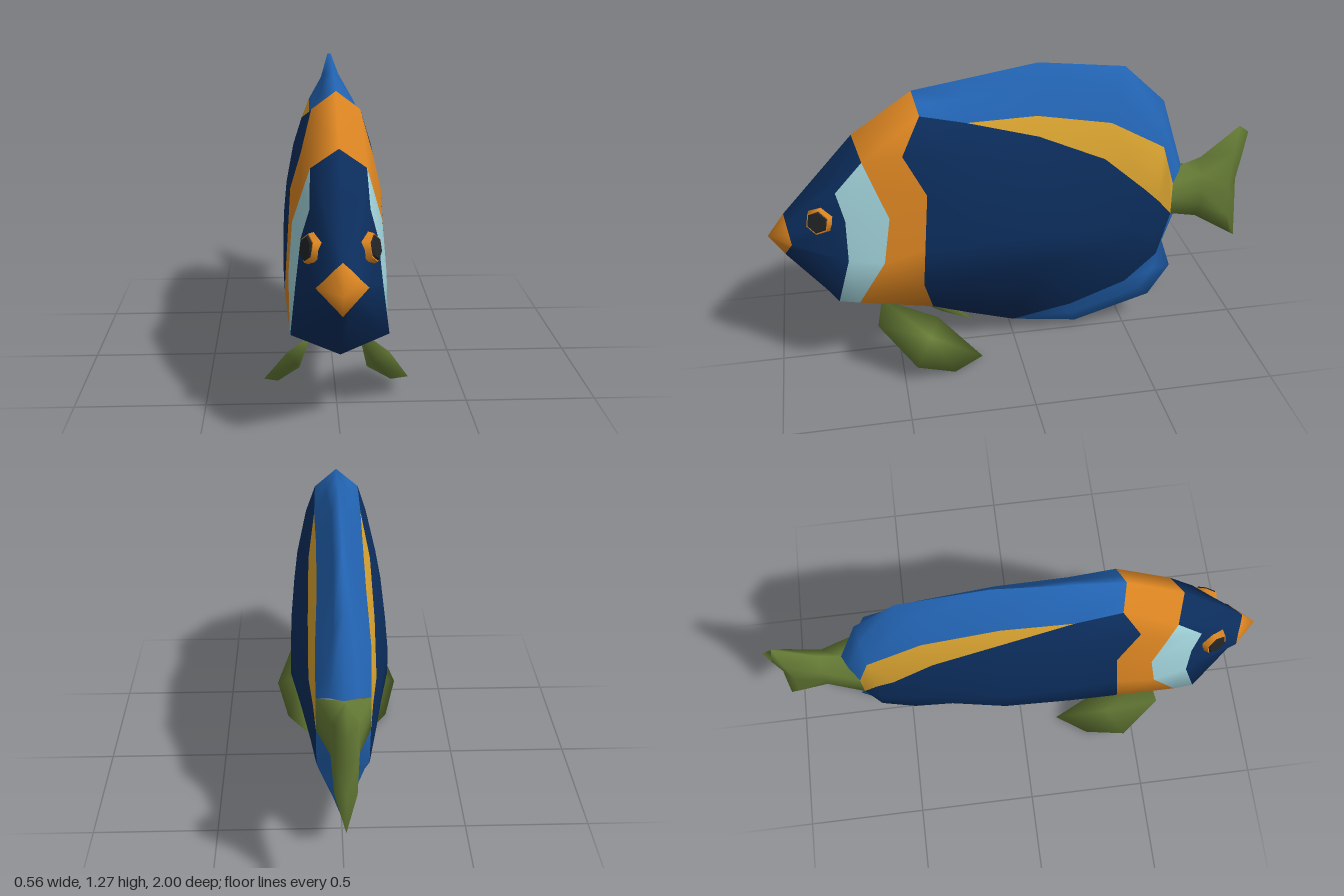
import * as THREE from 'three';
import { mergeVertices } from 'three/addons/utils/BufferGeometryUtils.js';

const paint = (name, color) => {
  const m = new THREE.MeshStandardMaterial({ color });
  m.name = name;
  return m;
};

// Triangles from a list of corner points, welded so they shade smoothly
function smoothMesh(name, corners, material) {
  let geo = new THREE.BufferGeometry();
  geo.setAttribute('position', new THREE.Float32BufferAttribute(corners.flat(), 3));
  geo = mergeVertices(geo, 1e-4);
  geo.computeVertexNormals();
  const mesh = new THREE.Mesh(geo, material);
  mesh.name = name;
  return mesh;
}

const flip = ([x, y, z]) => [-x, y, z];

// Skin between half rings (front to back, each listed top to bottom), mirrored in x
function loft(name, rings, material) {
  const out = [];
  for (let r = 0; r + 1 < rings.length; r++) {
    const a = rings[r], b = rings[r + 1];
    for (let i = 0; i + 1 < a.length; i++) {
      for (const tri of [[a[i], a[i + 1], b[i + 1]], [a[i], b[i + 1], b[i]]]) {
        out.push(...tri, ...tri.map(flip).reverse());
      }
    }
  }
  return smoothMesh(name, out, material);
}

// Makes normals agree where neighbouring skin parts meet
function blendNormals(meshes) {
  const sums = new Map();
  const visit = (fn) => meshes.forEach(({ geometry: { attributes: { position: p, normal: n } } }) => {
    for (let i = 0; i < p.count; i++) {
      const key = [p.getX(i), p.getY(i), p.getZ(i)].map((v) => Math.round(v * 1000)).join();
      fn(key, n, i);
    }
  });
  visit((key, n, i) => {
    if (!sums.has(key)) sums.set(key, new THREE.Vector3());
    sums.get(key).add(new THREE.Vector3().fromBufferAttribute(n, i));
  });
  visit((key, n, i) => {
    const v = sums.get(key).clone().normalize();
    n.setXYZ(i, v.x, v.y, v.z);
  });
}

export function createModel() {
  const fish = new THREE.Group();
  fish.name = 'fish';
  const navy = paint('navy', 0x0c2e5e), orange = paint('orange', 0xdd8622);
  const pale = paint('paleBlue', 0xa2d4dc), blue = paint('blue', 0x2365b5);
  const yellow = paint('yellow', 0xd9a330), green = paint('green', 0x667c36);
  const black = paint('black', 0x222426);

  // Head seams, from the snout backwards
  const tip = Array(7).fill([0, 0.61, 1]);
  const beakSeam = [[0, 0.705, 0.93], [0.03, 0.675, 0.922], [0.06, 0.64, 0.913], [0.09, 0.61, 0.905],
    [0.06, 0.58, 0.917], [0.03, 0.55, 0.928], [0, 0.52, 0.94]];
  const faceSeam = [[0, 1.025, 0.64], [0.1, 0.95, 0.61], [0.105, 0.83, 0.72], [0.135, 0.72, 0.69],
    [0.155, 0.55, 0.69], [0.175, 0.38, 0.74], [0, 0.32, 0.78]];
  const cheekSeam = [[0, 1.025, 0.64], [0.1, 0.95, 0.61], [0.127, 0.86, 0.574], [0.165, 0.73, 0.52],
    [0.18, 0.54, 0.55], [0.177, 0.365, 0.66], [0, 0.285, 0.68]];
  const collarSeam = [[0, 1.19, 0.4], [0.09, 1.12, 0.38], [0.13, 0.975, 0.455], [0.17, 0.82, 0.37],
    [0.185, 0.586, 0.388], [0.195, 0.43, 0.4], [0, 0.19, 0.35]];

  // Flank rings: dorsal base, yellow edge, four flank levels, belly edge
  const flank = [
    [collarSeam[1], ...collarSeam.slice(1)],
    [[0.095, 1.08, 0.2], [0.095, 1.08, 0.2], [0.145, 0.95, 0.2], [0.182, 0.78, 0.2],
      [0.198, 0.6, 0.2], [0.2, 0.45, 0.2], [0, 0.14, 0.2]],
    [[0.09, 1.085, -0.08], [0.12, 1.01, -0.08], [0.155, 0.9, -0.08], [0.185, 0.74, -0.08],
      [0.198, 0.6, -0.08], [0.2, 0.48, -0.08], [0, 0.08, 0]],
    [[0.09, 1.03, -0.38], [0.125, 0.89, -0.35], [0.145, 0.8, -0.33], [0.155, 0.68, -0.32],
      [0.16, 0.58, -0.31], [0.16, 0.48, -0.3], [0.06, 0.17, -0.24]],
    [[0.1, 0.91, -0.6], [0.125, 0.74, -0.52], [0.13, 0.69, -0.51], [0.13, 0.62, -0.5],
      [0.13, 0.56, -0.5], [0.13, 0.5, -0.5], [0.09, 0.28, -0.47]],
    [[0.1, 0.825, -0.625], [0.11, 0.67, -0.59], [0.11, 0.63, -0.59], [0.11, 0.58, -0.59],
      [0.11, 0.54, -0.59], [0.11, 0.5, -0.59], [0.1, 0.41, -0.6]],
    [[0.1, 0.74, -0.65], ...Array(6).fill([0.1, 0.6, -0.65])],
  ];
  const top = (r) => flank[r][0], belly = (r) => flank[r][6];

  // Fins grow out of the flank edges to a sharp ridge
  const dorsal = [
    [collarSeam[0], [0.045, 1.155, 0.39], top(0)],
    [[0, 1.222, 0.2], [0.045, 1.16, 0.2], top(1)],
    [[0, 1.27, -0.1], [0.03, 1.19, -0.08], top(2)],
    [[0, 1.23, -0.45], [0.03, 1.13, -0.42], top(3)],
    [[0, 1.07, -0.62], [0.035, 0.99, -0.61], top(4)],
    [[0, 0.77, -0.715], [0.05, 0.765, -0.69], top(6)],
  ];
  const anal = [
    [belly(2), belly(2), belly(2)],
    [belly(3), [0.025, 0.1, -0.26], [0, 0.04, -0.28]],
    [belly(4), [0.035, 0.2, -0.55], [0, 0.14, -0.61]],
    [belly(4), [0.035, 0.29, -0.61], [0, 0.28, -0.7]],
    [belly(5), [0.05, 0.42, -0.63], [0, 0.43, -0.65]],
    [belly(6), [0.05, 0.57, -0.68], [0, 0.55, -0.7]],
  ];
  const tail = [
    [[0, 0.77, -0.715], [0.1, 0.74, -0.65], [0.1, 0.67, -0.65], [0.1, 0.6, -0.65], [0, 0.55, -0.7]],
    [[0, 0.8, -0.8], [0.05, 0.74, -0.8], [0.055, 0.67, -0.8], [0.05, 0.6, -0.8], [0, 0.52, -0.8]],
    [[0, 0.93, -0.96], [0.04, 0.82, -0.93], [0.04, 0.67, -0.92], [0.04, 0.53, -0.93], [0, 0.42, -0.96]],
    [[0, 0.9, -1], [0, 0.8, -0.985], [0, 0.68, -0.965], [0, 0.55, -0.975], [0, 0.405, -0.985]],
  ];

  const skin = [
    loft('beak', [tip, beakSeam], orange),
    loft('face', [beakSeam, faceSeam], navy),
    loft('cheekBand', [faceSeam, cheekSeam], pale),
    loft('collar', [cheekSeam, collarSeam], orange),
    loft('flanks', flank.map((r) => r.slice(1)), navy),
    loft('flankStripes', flank.slice(1).map((r) => r.slice(0, 2)), yellow),
    loft('dorsalFin', dorsal, blue),
    loft('analFin', anal, blue),
  ];
  blendNormals(skin);
  fish.add(...skin, loft('tailFin', tail, green));

  // Pectoral fins: a leaf outline swelling to a hub on both faces
  const leaf = [[0.095, 0.315, 0.57], [0.19, 0.25, 0.595], [0.278, 0.085, 0.45],
    [0.228, 0.003, 0.29], [0.14, 0.003, 0.16], [0.1, 0.2, 0.34]];
  const outer = [0.18, 0.157, 0.38], inner = [0.15, 0.122, 0.4];
  const leafTris = [];
  leaf.forEach((p, i) => {
    const q = leaf[(i + 1) % leaf.length];
    leafTris.push(p, q, outer, q, p, inner);
  });

  for (const side of [1, -1]) {
    const label = side > 0 ? 'left' : 'right';
    const tris = side > 0 ? leafTris : leafTris.map(flip).reverse();
    fish.add(smoothMesh(label + 'PectoralFin', tris, green));

    // Eye: six-sided rim with a dark pupil plate
    const eye = new THREE.Group();
    eye.name = label + 'Eye';
    const rim = new THREE.Mesh(new THREE.CylinderGeometry(0.05, 0.064, 0.04, 6), orange);
    rim.name = 'eyeRim';
    const pupil = new THREE.Mesh(new THREE.CylinderGeometry(0.04, 0.046, 0.008, 6), black);
    pupil.name = 'pupil';
    pupil.position.y = 0.023;
    eye.add(rim, pupil);
    eye.position.set(side * 0.1, 0.712, 0.79);
    eye.quaternion.setFromUnitVectors(new THREE.Vector3(0, 1, 0),
      new THREE.Vector3(side * 0.88, 0.2, 0.4).normalize());
    fish.add(eye);
  }
  return fish;
}
